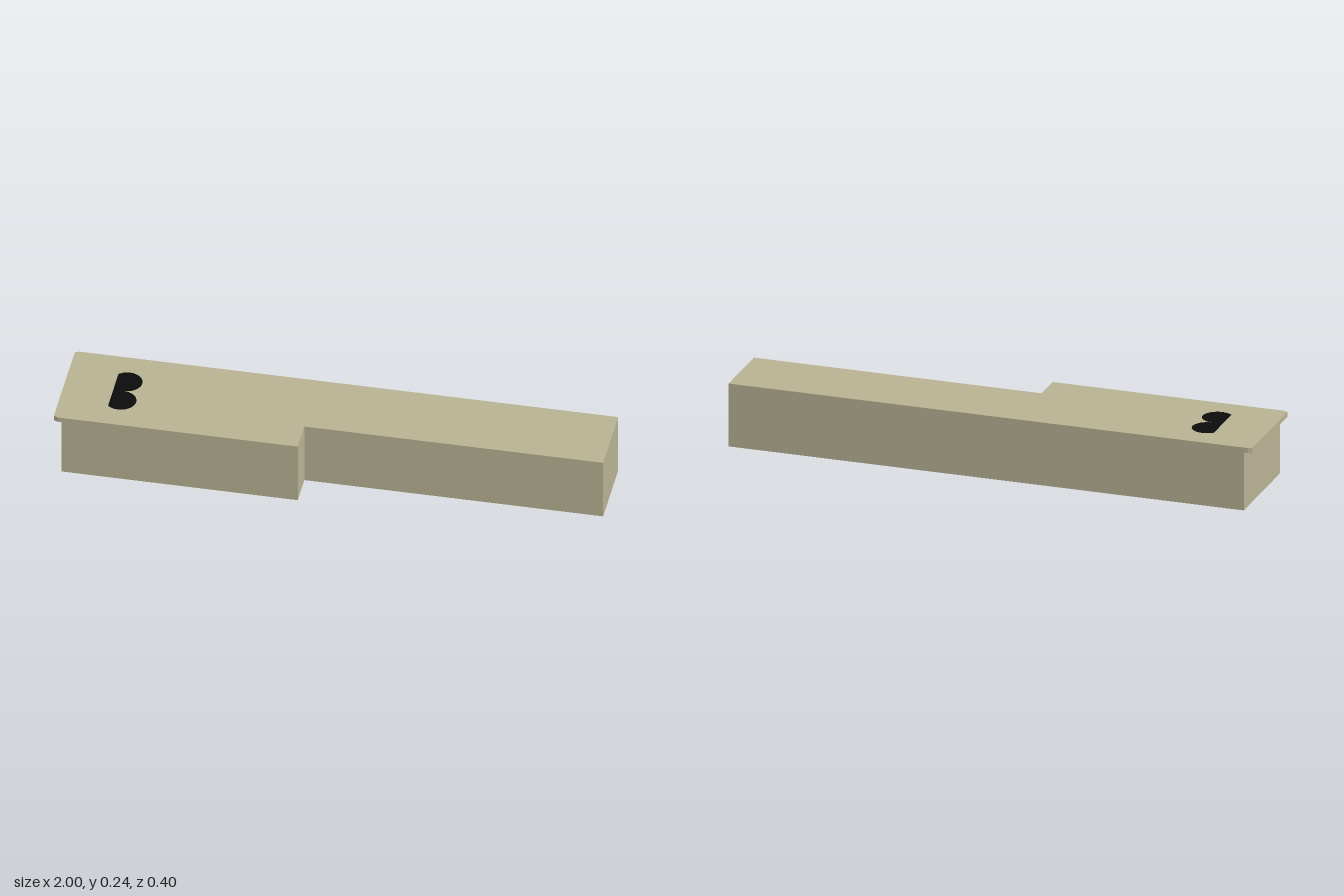
import * as THREE from 'three';

const TOP = 0.243, LIP_BOTTOM = 0.224;

// Plan outline given as [x, z] points, raised from y0 to y1
function slab(name, points, y0, y1, material) {
  const shape = new THREE.Shape(points.map(([x, z]) => new THREE.Vector2(x, -z)));
  const geometry = new THREE.ExtrudeGeometry(shape, { depth: y1 - y0, bevelEnabled: false });
  geometry.rotateX(-Math.PI / 2).translate(0, y0, 0);
  const mesh = new THREE.Mesh(geometry, material);
  mesh.name = name;
  return mesh;
}

export function createModel() {
  const ivory = new THREE.MeshStandardMaterial({ color: 0xb9b293 });
  ivory.name = 'ivory';
  const black = new THREE.MeshStandardMaterial({ color: 0x0b0b0b });
  black.name = 'black';

  const model = new THREE.Group();
  model.name = 'pianoKey';

  // Key body: wide head with a notch leading to the narrow tail
  model.add(slab('keyBody', [
    [-0.97, 0.2], [-0.1, 0.2], [-0.1, 0.078], [1, 0.078], [1, -0.2], [-0.97, -0.2],
  ], 0, TOP, ivory));

  // Thin overhanging lip with clipped corners
  model.add(slab('frontLip', [
    [-0.97, 0.2], [-0.97, -0.2], [-0.985, -0.2], [-1, -0.193], [-1, 0.193], [-0.985, 0.2],
  ], LIP_BOTTOM, TOP, ivory));

  // Painted heart: two round lobes meeting at a point toward the lip
  const r = 0.056, cx = -0.78;
  const heart = new THREE.Shape();
  heart.moveTo(cx - r * (1 + Math.SQRT2), 0);
  heart.absarc(cx, -r, r, -Math.PI * 0.75, Math.PI / 2, false);
  heart.absarc(cx, r, r, -Math.PI / 2, Math.PI * 0.75, false);
  heart.closePath();
  const heartMesh = new THREE.Mesh(new THREE.ShapeGeometry(heart, 24), black);
  heartMesh.name = 'heart';
  heartMesh.rotation.x = -Math.PI / 2;
  heartMesh.position.y = TOP + 0.001;
  model.add(heartMesh);

  return model;
}
